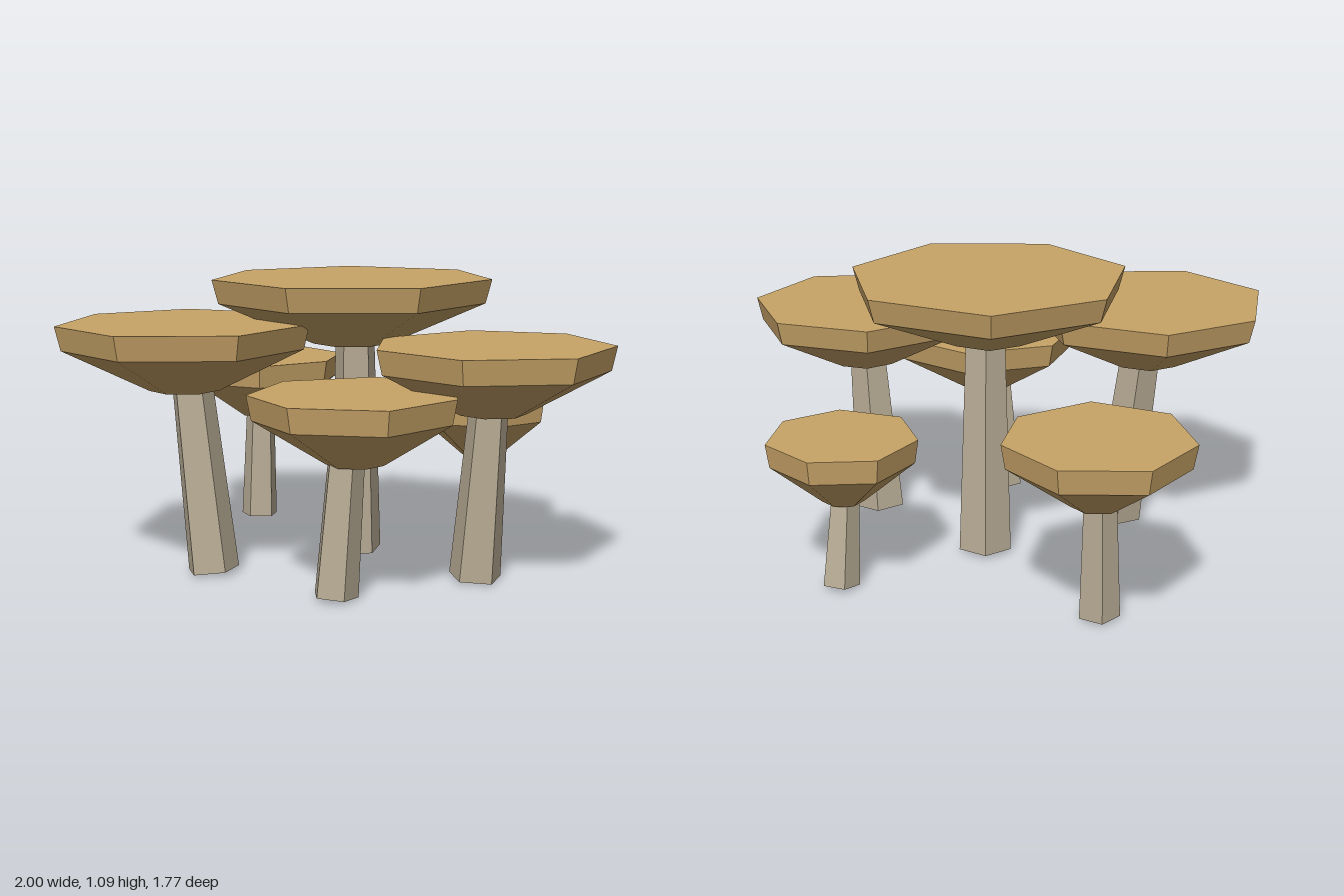
import * as THREE from 'three';

const capMaterial = new THREE.MeshStandardMaterial({ color: 0xc8a468 });
capMaterial.name = 'tan cap';
const stemMaterial = new THREE.MeshStandardMaterial({ color: 0xb8ac95 });
stemMaterial.name = 'pale grey stem';

// Each mushroom: cap top height, seven-sided cap outline [x, z] (counter-clockwise from above),
// stem foot and head [x, z], stem radii [foot, head] and stem spin in degrees.
const MUSHROOMS = [
  { name: 'tallCentreMushroom', top: 1.09, foot: [-0.02, -0.075], head: [-0.01, -0.03], radii: [0.105, 0.078], spin: 15,
    outline: [[-0.15, -0.52], [-0.5, -0.22], [-0.49, 0.26], [-0.13, 0.535], [0.33, 0.43], [0.52, 0], [0.32, -0.43]] },
  { name: 'rightMushroom', top: 0.94, foot: [-0.47, 0.36], head: [-0.545, 0.345], radii: [0.1, 0.08], spin: 10,
    outline: [[-1, 0.15], [-0.98, 0.58], [-0.66, 0.81], [-0.25, 0.7], [-0.1, 0.32], [-0.3, -0.05], [-0.71, -0.11]] },
  { name: 'leftMushroom', top: 0.88, foot: [0.505, 0.235], head: [0.55, 0.26], radii: [0.1, 0.075], spin: 10,
    outline: [[0.79, -0.12], [0.42, -0.145], [0.14, 0.15], [0.19, 0.51], [0.52, 0.7], [0.89, 0.57], [1, 0.2]] },
  { name: 'frontMushroom', top: 0.73, foot: [0.06, 0.595], head: [0.09, 0.565], radii: [0.084, 0.07], spin: 0,
    outline: [[-0.24, 0.66], [-0.03, 0.885], [0.31, 0.865], [0.49, 0.59], [0.42, 0.27], [0.11, 0.14], [-0.2, 0.32]] },
  { name: 'backRightMushroom', top: 0.7, foot: [-0.55, -0.53], head: [-0.545, -0.545], radii: [0.078, 0.062], spin: 20,
    outline: [[-0.46, -0.89], [-0.76, -0.82], [-0.88, -0.55], [-0.75, -0.27], [-0.45, -0.21], [-0.225, -0.43], [-0.23, -0.71]] },
  { name: 'backLeftMushroom', top: 0.58, foot: [0.425, -0.52], head: [0.415, -0.475], radii: [0.072, 0.055], spin: 30,
    outline: [[0.455, -0.74], [0.22, -0.665], [0.14, -0.435], [0.27, -0.22], [0.52, -0.2], [0.685, -0.37], [0.66, -0.615]] },
];

// Cap rings: [scale of the outline, drop below the top]
const CAP_RINGS = [[1, 0], [0.955, 0.09], [0.28, 0.25]];

// Faceted cap: flat top, short flared rim, shallow cone beneath, closed underside
function capGeometry(outline, top) {
  const n = outline.length;
  const cx = outline.reduce((s, p) => s + p[0], 0) / n;
  const cz = outline.reduce((s, p) => s + p[1], 0) / n;
  const rings = CAP_RINGS.map(([k, drop]) =>
    outline.map(([x, z]) => [cx + (x - cx) * k, top - drop, cz + (z - cz) * k]));
  const first = rings[0], last = rings[rings.length - 1];
  const topCentre = [cx, first[0][1], cz], lowCentre = [cx, last[0][1], cz];
  const pos = [];
  for (let i = 0; i < n; i++) {
    const j = (i + 1) % n;
    pos.push(...topCentre, ...first[i], ...first[j]);
    for (let r = 0; r < rings.length - 1; r++) {
      const a = rings[r], b = rings[r + 1];
      pos.push(...b[i], ...b[j], ...a[j], ...b[i], ...a[j], ...a[i]);
    }
    pos.push(...lowCentre, ...last[j], ...last[i]);
  }
  const g = new THREE.BufferGeometry();
  g.setAttribute('position', new THREE.Float32BufferAttribute(pos, 3));
  g.computeVertexNormals();
  return g;
}

// Leaning, tapered five-sided stem
function stemGeometry({ top, foot, head, radii, spin }) {
  const a = new THREE.Vector3(foot[0], 0.012, foot[1]);
  const b = new THREE.Vector3(head[0], top - 0.24, head[1]);
  const axis = b.clone().sub(a);
  let g = new THREE.CylinderGeometry(radii[1], radii[0], axis.length(), 5);
  g.rotateY(THREE.MathUtils.degToRad(36 + spin));
  g.applyQuaternion(new THREE.Quaternion().setFromUnitVectors(
    new THREE.Vector3(0, 1, 0), axis.clone().normalize()));
  g.translate(...a.add(b).multiplyScalar(0.5).toArray());
  g = g.toNonIndexed();
  g.computeVertexNormals();
  return g;
}

export function createModel() {
  const group = new THREE.Group();
  group.name = 'mushroomCluster';
  for (const m of MUSHROOMS) {
    const mushroom = new THREE.Group();
    mushroom.name = m.name;
    const cap = new THREE.Mesh(capGeometry(m.outline, m.top), capMaterial);
    cap.name = 'cap';
    const stem = new THREE.Mesh(stemGeometry(m), stemMaterial);
    stem.name = 'stem';
    mushroom.add(cap, stem);
    group.add(mushroom);
  }
  return group;
}
